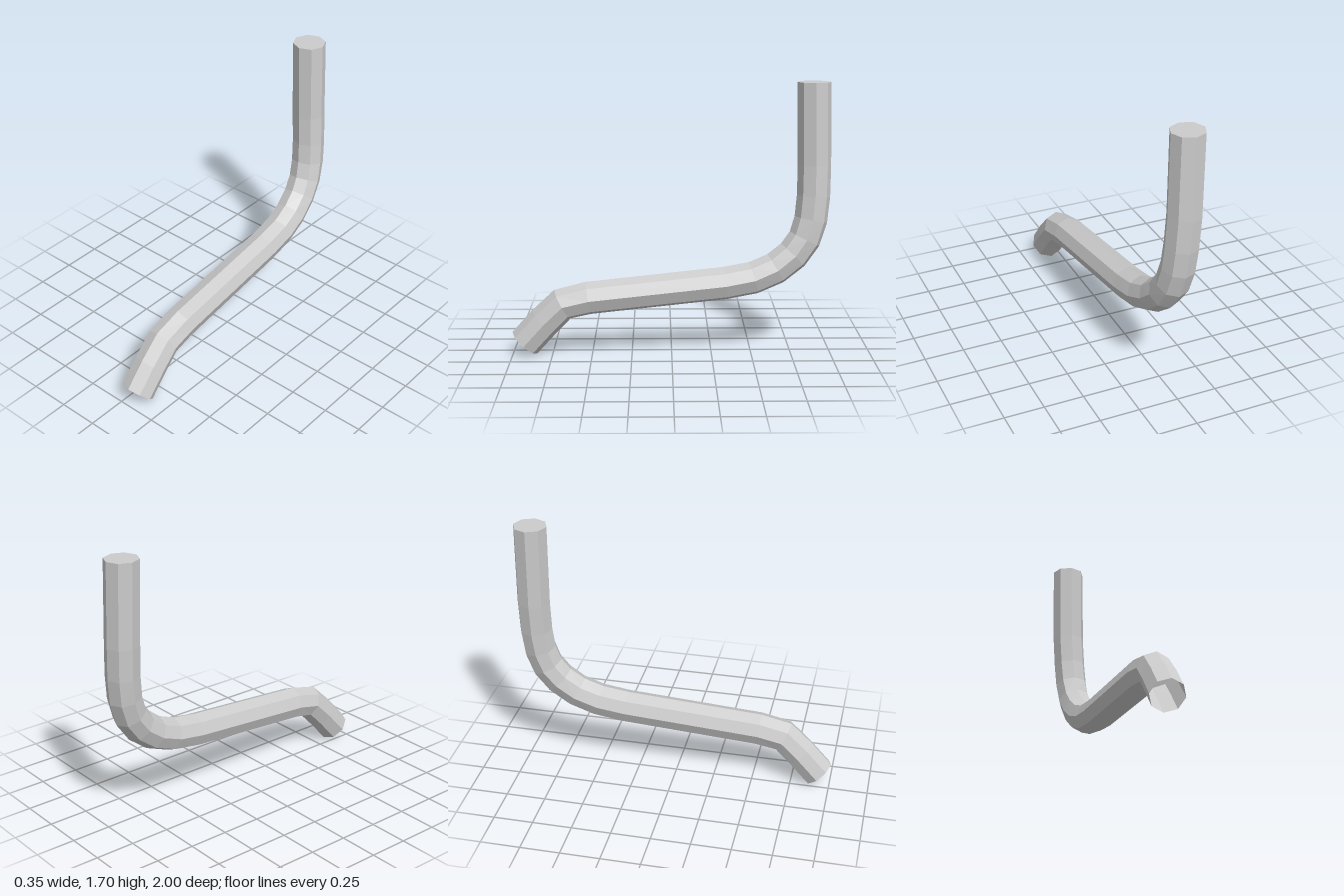
import * as THREE from 'three';

const SIDES = 8, RADIUS = 0.105;

// Centre line of the bent pipe, from the open low end to the capped top
const PATH = [
  [0.068, 0.07, 0.925], [0.069, 0.208, 0.80], [0.07, 0.32, 0.685], [0.062, 0.357, 0.525],
  [0.018, 0.44, -0.335], [0.008, 0.472, -0.515], [-0.004, 0.53, -0.655], [-0.016, 0.615, -0.765],
  [-0.028, 0.715, -0.838], [-0.04, 0.838, -0.877], [-0.05, 0.985, -0.892], [-0.061, 1.18, -0.895],
  [-0.072, 1.697, -0.886],
].map((p) => new THREE.Vector3(...p));

// Octagonal ring square to the path at point i
function ring(i) {
  const last = PATH.length - 1;
  const dir = (a, b) => PATH[b].clone().sub(PATH[a]).normalize();
  const tangent = new THREE.Vector3();
  if (i > 0) tangent.add(dir(i - 1, i));
  if (i < last) tangent.add(dir(i, i + 1));
  if (i === last) tangent.set(0, 1, 0);
  tangent.normalize();
  const side = new THREE.Vector3(1, 0, 0).addScaledVector(tangent, -tangent.x).normalize();
  const up = tangent.clone().cross(side);
  return Array.from({ length: SIDES }, (_, k) => {
    const a = (k / SIDES) * Math.PI * 2;
    return PATH[i].clone()
      .addScaledVector(side, Math.cos(a) * RADIUS)
      .addScaledVector(up, Math.sin(a) * RADIUS);
  });
}

function meshFrom(name, points, index, material) {
  const geometry = new THREE.BufferGeometry().setFromPoints(points);
  geometry.setIndex(index);
  geometry.computeVertexNormals();
  const mesh = new THREE.Mesh(geometry, material);
  mesh.name = name;
  return mesh;
}

export function createModel() {
  const group = new THREE.Group();
  group.name = 'bentPipe';
  const material = new THREE.MeshStandardMaterial({
    color: 0xcccccc, flatShading: true, side: THREE.DoubleSide,
  });

  // Pipe wall, open at the low end
  const rings = PATH.map((_, i) => ring(i));
  const wall = [];
  for (let i = 0; i < rings.length - 1; i++) {
    for (let k = 0; k < SIDES; k++) {
      const a = i * SIDES + k, b = i * SIDES + ((k + 1) % SIDES);
      wall.push(a, b, b + SIDES, a, b + SIDES, a + SIDES);
    }
  }
  group.add(meshFrom('pipeWall', rings.flat(), wall, material));

  // Flat cap on the upright end
  const cap = [];
  for (let k = 1; k < SIDES - 1; k++) cap.push(0, k, k + 1);
  group.add(meshFrom('topCap', rings[rings.length - 1], cap, material));

  return group;
}
